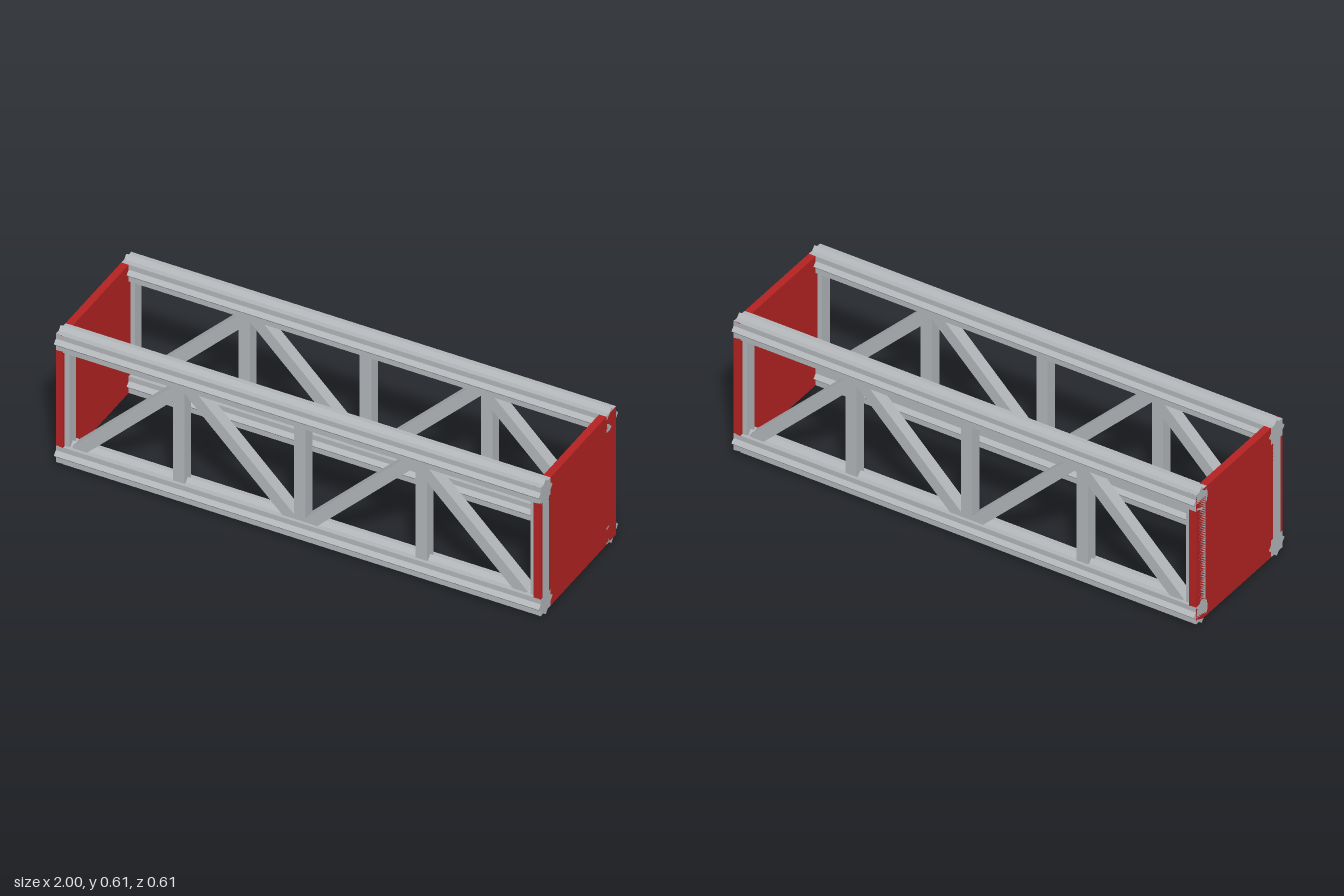
import * as THREE from 'three';

const STEEL = new THREE.MeshStandardMaterial({ color: 0xb0b4b7 });
STEEL.name = 'steel grey';
const RED = new THREE.MeshStandardMaterial({ color: 0xb22222 });
RED.name = 'end plate red';

const LOW = 0.053, HIGH = 0.553; // chord heights
const SIDE = 0.25;               // chord distance from the middle
const BAR = 0.048;               // width of the square bars

function add(parent, name, geometry, material, x, y, z) {
  const mesh = new THREE.Mesh(geometry, material);
  mesh.name = name;
  mesh.position.set(x, y, z);
  parent.add(mesh);
  return mesh;
}

// Eight-pointed star (two crossed squares) extruded along x
function chordGeometry() {
  const s = 0.0375;
  const points = [];
  for (let i = 0; i < 16; i++) {
    const r = i % 2 ? s * 1.0824 : s * Math.SQRT2;
    const a = (i * Math.PI) / 8;
    points.push(new THREE.Vector2(Math.cos(a) * r, Math.sin(a) * r));
  }
  return new THREE.ExtrudeGeometry(new THREE.Shape(points), { depth: 2, bevelEnabled: false })
    .translate(0, 0, -1)
    .rotateY(Math.PI / 2);
}

// Square bar lying in the side frame between two points
function diagonal(parent, x0, y0, x1, y1) {
  const geometry = new THREE.BoxGeometry(Math.hypot(x1 - x0, y1 - y0), BAR, 0.05);
  const bar = add(parent, 'diagonalBrace', geometry, STEEL, (x0 + x1) / 2, (y0 + y1) / 2, 0);
  bar.rotation.z = Math.atan2(y1 - y0, x1 - x0);
}

// One long side: two chords, uprights and braces
function sideFrame(name, z) {
  const frame = new THREE.Group();
  frame.name = name;
  frame.position.z = z;

  const chord = chordGeometry();
  add(frame, 'lowerChord', chord, STEEL, 0, LOW, 0);
  add(frame, 'upperChord', chord, STEEL, 0, HIGH, 0);

  const middle = (LOW + HIGH) / 2;
  const upright = new THREE.BoxGeometry(BAR, HIGH - LOW, 0.05);
  for (const x of [-0.5, 0, 0.5]) add(frame, 'upright', upright, STEEL, x, middle, 0);

  const endPost = new THREE.BoxGeometry(0.05, HIGH - LOW, 0.05);
  for (const m of [-1, 1]) {
    add(frame, 'endPost', endPost, STEEL, m * 0.975, middle, 0);
    diagonal(frame, m * 0.923, 0.08, m * 0.483, 0.52);
    diagonal(frame, m * 0.027, 0.08, m * 0.467, 0.52);
  }
  return frame;
}

export function createModel() {
  const model = new THREE.Group();
  model.name = 'trussSegment';

  model.add(sideFrame('frontFrame', SIDE), sideFrame('backFrame', -SIDE));

  // Plates closing both ends
  const plate = new THREE.BoxGeometry(0.03, 0.575, 0.575);
  add(model, 'rightEndPlate', plate, RED, -0.985, (LOW + HIGH) / 2, 0);
  add(model, 'leftEndPlate', plate, RED, 0.985, (LOW + HIGH) / 2, 0);

  return model;
}
